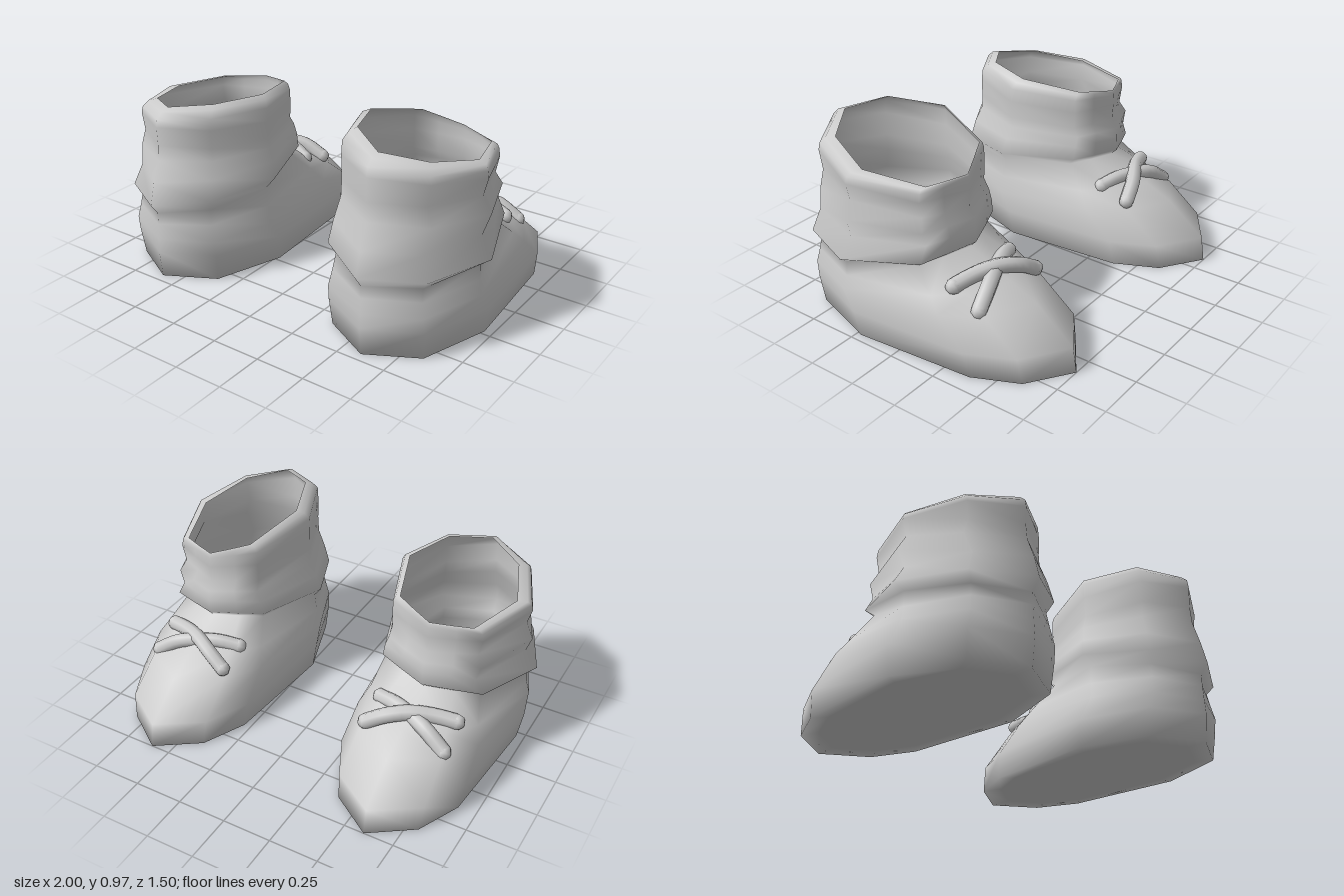
import * as THREE from 'three';

const lerp = THREE.MathUtils.lerp;

// Half outlines from heel to front: [width fraction, length fraction]
const FOOT = [[0, 0], [0.68, 0.09], [1, 0.33], [0.86, 0.75], [0.58, 0.9], [0, 1]];
const SHAFT = [[0, 0], [0.66, 0.16], [1, 0.5], [0.67, 0.89], [0.35, 0.945], [0, 1]];

// Rings from the sole up to the cuff opening:
// [heel y, front y, inner rise, outer fall, heel z, front z, inner width, outer width, foot-to-shaft blend]
const RINGS = [
  [0, 0, 0, 0, 0, 0, 0, 0, 0],
  [0, 0, 0, 0, 0.6, -0.63, 0.3, 0.3, 0],
  [0, 0, 0, 0, 0.705, -0.75, 0.365, 0.36, 0],
  [0.14, 0.125, 0, 0, 0.72, -0.73, 0.38, 0.38, 0],
  [0.21, 0.28, 0, 0, 0.715, -0.53, 0.37, 0.37, 0],
  [0.29, 0.345, 0.01, 0.01, 0.71, -0.385, 0.352, 0.355, 0.3],
  [0.35, 0.45, 0.02, 0.02, 0.71, -0.16, 0.342, 0.35, 0.9],
  [0.405, 0.48, 0.03, 0.03, 0.75, -0.19, 0.385, 0.4, 1],
  [0.52, 0.55, 0.025, 0.025, 0.72, -0.19, 0.367, 0.338, 1],
  [0.645, 0.605, 0.02, 0.015, 0.68, -0.185, 0.34, 0.368, 1],
  [0.735, 0.65, 0.02, 0, 0.672, -0.155, 0.335, 0.328, 1],
  [0.85, 0.735, 0.03, 0.01, 0.675, -0.16, 0.336, 0.35, 1],
  [0.895, 0.785, 0.06, 0.025, 0.668, -0.157, 0.335, 0.343, 1],
  [0.925, 0.805, 0.07, 0.03, 0.635, -0.155, 0.315, 0.325, 1],
  [0.937, 0.812, 0.075, 0.035, 0.59, -0.15, 0.28, 0.28, 1],
];

// One thin lofted shell; local +x points outward, cuffDrop lowers the back and inside of the cuff
function bootGeometry(side, cuffDrop) {
  const positions = [], index = [], n = 10;
  for (const [yHeel, yFront, rise, fall, zHeel, zFront, wIn, wOut, blend] of RINGS) {
    const drop = cuffDrop * THREE.MathUtils.clamp((yHeel - 0.5) / 0.4, 0, 1);
    for (let j = 0; j < n; j++) {
      const k = j <= 5 ? j : n - j;
      const out = j <= 5;
      const px = lerp(FOOT[k][0], SHAFT[k][0], blend);
      const t = lerp(FOOT[k][1], SHAFT[k][1], blend);
      positions.push(
        side * px * (out ? wOut : -wIn),
        lerp(yHeel - drop, yFront, t) + px * (out ? -fall : rise - drop / 2),
        lerp(zHeel, zFront, t));
    }
  }
  for (let r = 0; r < RINGS.length - 1; r++) {
    for (let j = 0; j < n; j++) {
      const a = r * n + j, b = r * n + (j + 1) % n, c = b + n, d = a + n;
      if (side > 0) index.push(a, b, c, a, c, d);
      else index.push(a, c, b, a, d, c);
    }
  }
  const geo = new THREE.BufferGeometry();
  geo.setAttribute('position', new THREE.Float32BufferAttribute(positions, 3));
  geo.setIndex(index);
  geo.computeVertexNormals();
  return geo;
}

// Lace: a bent tube with rounded ends
function makeLace(name, points, side, material) {
  const group = new THREE.Group();
  group.name = name;
  const path = points.map(([x, y, z]) => new THREE.Vector3(x * side, y, z));
  const radius = 0.038;
  const tube = new THREE.TubeGeometry(new THREE.CatmullRomCurve3(path), 12, radius, 8);
  group.add(new THREE.Mesh(tube, material));
  for (const end of [path[0], path[path.length - 1]]) {
    const cap = new THREE.Mesh(new THREE.SphereGeometry(radius, 8, 6), material);
    cap.position.copy(end);
    group.add(cap);
  }
  return group;
}

export function createModel() {
  const model = new THREE.Group();
  model.name = 'boots';
  const leather = new THREE.MeshStandardMaterial({ color: 0xcccccc, side: THREE.DoubleSide });
  leather.name = 'light grey leather';

  for (const side of [1, -1]) {
    const boot = new THREE.Group();
    boot.name = side > 0 ? 'leftBoot' : 'rightBoot';
    boot.position.x = 0.6 * side;

    const body = new THREE.Mesh(bootGeometry(side, side > 0 ? 0 : 0.07), leather);
    body.name = 'bootBody';
    boot.add(body);

    // Crossed laces over the instep
    boot.add(makeLace('upperLace',
      [[0.205, 0.36, -0.222], [0.1, 0.38, -0.258], [0, 0.392, -0.305], [-0.1, 0.372, -0.355], [-0.195, 0.315, -0.38]],
      side, leather));
    boot.add(makeLace('lowerLace',
      [[0.205, 0.285, -0.365], [0.1, 0.355, -0.34], [0, 0.375, -0.3], [-0.1, 0.378, -0.262], [-0.195, 0.357, -0.225]],
      side, leather));
    model.add(boot);
  }
  return model;
}
